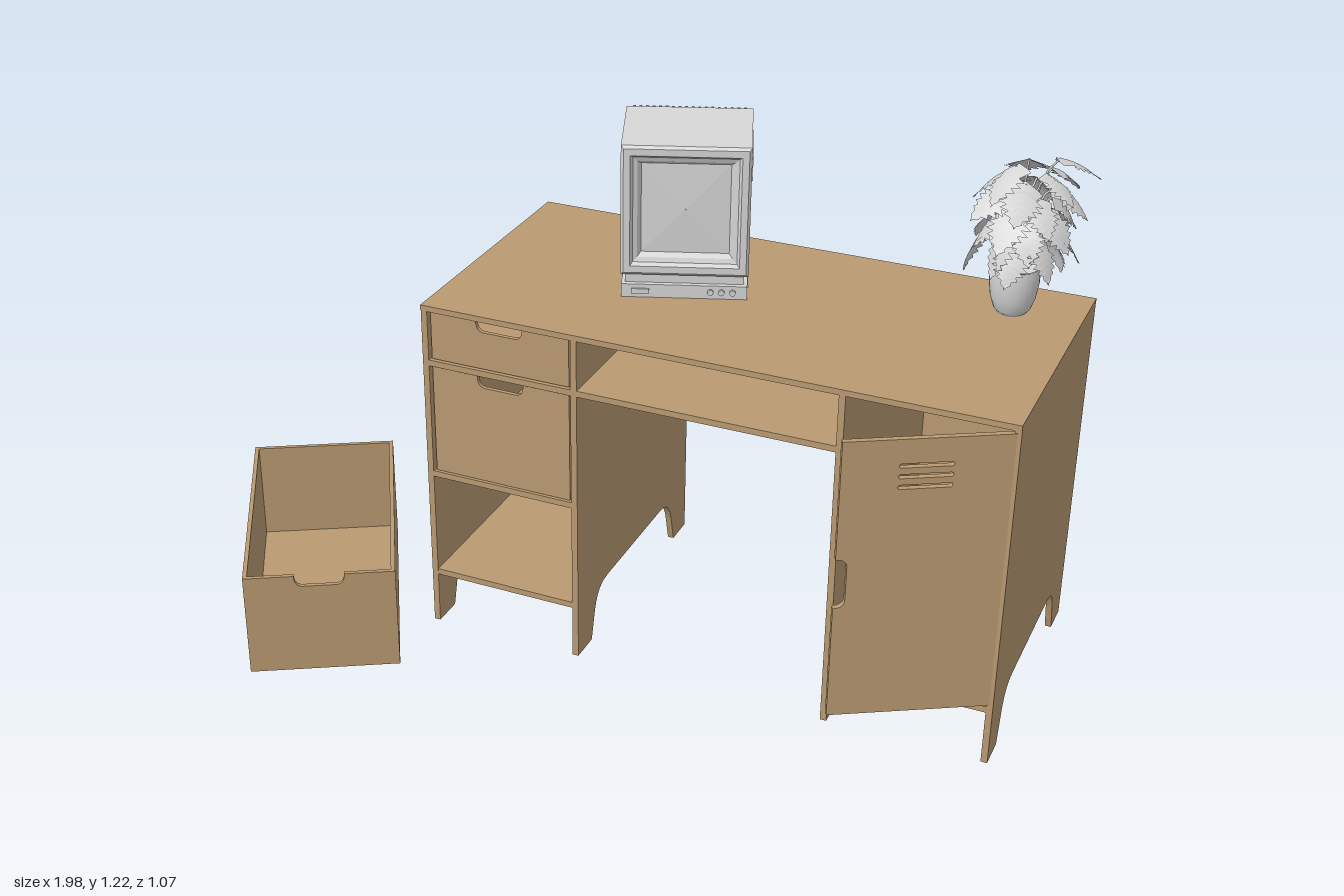
import * as THREE from 'three';

const wood = new THREE.MeshStandardMaterial({ color: 0xb99a72, side: THREE.DoubleSide });
wood.name = 'wood';
const grey = new THREE.MeshStandardMaterial({ color: 0xd6d6d6, side: THREE.DoubleSide });
grey.name = 'lightGrey';

const T = 0.015; // board thickness

function add(parent, name, geometry, material, x = 0, y = 0, z = 0) {
  const mesh = new THREE.Mesh(geometry, material);
  mesh.name = name;
  mesh.position.set(x, y, z);
  parent.add(mesh);
  return mesh;
}

// box given by its limits
function box(parent, name, material, x0, x1, y0, y1, z0, z1) {
  return add(parent, name, new THREE.BoxGeometry(x1 - x0, y1 - y0, z1 - z0), material,
    (x0 + x1) / 2, (y0 + y1) / 2, (z0 + z1) / 2);
}

const extrude = (shape, depth) => new THREE.ExtrudeGeometry(shape, { depth, bevelEnabled: false, curveSegments: 8 });

function faceted(geometry) {
  const g = geometry.toNonIndexed();
  g.computeVertexNormals();
  return g;
}

// upright board with an arch cut between two feet, drawn in (z, y)
function sidePanel(parent, name, x) {
  const s = new THREE.Shape();
  s.moveTo(0.148, 0);
  s.lineTo(0.148, 0.848);
  s.lineTo(-0.513, 0.848);
  s.lineTo(-0.513, 0);
  s.lineTo(-0.437, 0);
  s.bezierCurveTo(-0.415, 0.07, -0.42, 0.13, -0.345, 0.132);
  s.lineTo(-0.02, 0.132);
  s.bezierCurveTo(0.055, 0.13, 0.05, 0.07, 0.072, 0);
  const panel = add(parent, name, extrude(s, T), wood, x + T);
  panel.rotation.y = -Math.PI / 2;
}

// open box with a finger notch in its front board; front face at z = 0
function drawer(parent, name, w, h, d) {
  const g = new THREE.Group();
  g.name = name;
  parent.add(g);
  const a = w / 2, n = 0.058, t = 0.01;
  const s = new THREE.Shape();
  s.moveTo(-a, 0);
  s.lineTo(a, 0);
  s.lineTo(a, h);
  s.lineTo(n, h);
  s.quadraticCurveTo(n, h - 0.028, n - 0.02, h - 0.028);
  s.lineTo(-n + 0.02, h - 0.028);
  s.quadraticCurveTo(-n, h - 0.028, -n, h);
  s.lineTo(-a, h);
  add(g, 'drawerFront', extrude(s, t), wood, 0, 0, -t);
  for (const i of [-1, 1]) {
    const x = i * (a - t / 2);
    box(g, 'drawerSide', wood, x - t / 2, x + t / 2, 0, h, -d, -t);
  }
  box(g, 'drawerBack', wood, -a + t, a - t, 0, h, -d, -d + t);
  box(g, 'drawerFloor', wood, -a + t, a - t, 0, t, -d + t, -t);
  return g;
}

function makeDesk(root) {
  const desk = new THREE.Group();
  desk.name = 'desk';
  root.add(desk);
  for (const x of [-0.41, -0.037, 0.585, 0.96]) sidePanel(desk, 'sidePanel', x);
  box(desk, 'deskTop', wood, -0.41, 0.975, 0.836, 0.85, -0.515, 0.15);

  // shelves and dividers
  const shelves = [[-0.395, -0.037, 0.132], [-0.395, -0.037, 0.405], [-0.395, -0.037, 0.697],
    [-0.022, 0.585, 0.697], [0.6, 0.96, 0.132]];
  for (const [x0, x1, y] of shelves) box(desk, 'shelf', wood, x0, x1, y, y + T, -0.5, 0.147);

  // rear boards around the knee space
  box(desk, 'backPanel', wood, -0.395, -0.022, 0.132, 0.836, -0.513, -0.5);
  box(desk, 'backPanel', wood, 0.585, 0.96, 0.132, 0.836, -0.513, -0.5);
  box(desk, 'upperBackPanel', wood, -0.022, 0.585, 0.697, 0.836, -0.513, -0.5);
  box(desk, 'crossBar', wood, -0.022, 0.585, 0.35, 0.418, -0.513, -0.498);

  // closed drawers
  drawer(desk, 'topDrawer', 0.346, 0.12, 0.62).position.set(-0.216, 0.715, 0.142);
  drawer(desk, 'middleDrawer', 0.346, 0.272, 0.62).position.set(-0.216, 0.422, 0.142);

  // drawer pulled out and left on the floor
  const loose = drawer(root, 'looseDrawer', 0.35, 0.258, 0.622);
  loose.position.set(-0.54, 0.007, 0.446);
  loose.rotation.y = Math.PI / 6;

  // open door, hinged on its +x edge, with hand notch and slots
  const s = new THREE.Shape();
  s.moveTo(0, 0);
  s.lineTo(0, 0.675);
  s.lineTo(-0.36, 0.675);
  s.lineTo(-0.36, 0.395);
  s.quadraticCurveTo(-0.335, 0.395, -0.335, 0.375);
  s.lineTo(-0.335, 0.295);
  s.quadraticCurveTo(-0.335, 0.275, -0.36, 0.275);
  s.lineTo(-0.36, 0);
  for (const y of [0.563, 0.588, 0.613]) {
    const hole = new THREE.Path();
    hole.absarc(-0.235, y, 0.005, Math.PI / 2, Math.PI * 1.5);
    hole.absarc(-0.13, y, 0.005, -Math.PI / 2, Math.PI / 2);
    s.holes.push(hole);
  }
  const door = add(desk, 'door', extrude(s, 0.013), wood, 0.96, 0.155, 0.138);
  door.rotation.y = Math.PI / 6;
}

function makeMonitor(root) {
  const m = new THREE.Group();
  m.name = 'monitor';
  m.position.set(0.12, 0.85, -0.127);
  m.rotation.y = 0.36;
  root.add(m);

  // housing from its side profile in (z, y)
  const s = new THREE.Shape([[-0.04, 0.05], [-0.04, 0.365], [-0.235, 0.373], [-0.3, 0.345], [-0.3, 0], [-0.07, 0], [-0.07, 0.05]]
    .map(([z, y]) => new THREE.Vector2(z, y)));
  add(m, 'housing', extrude(s, 0.29), grey, 0.145).rotation.y = -Math.PI / 2;

  // stepped bezel running inward to the slightly domed screen
  const profile = [[0.145, -0.05], [0.145, -0.006], [0.139, 0], [0.124, 0], [0.118, -0.01], [0.108, -0.014], [0.1, -0.026], [0.001, -0.021]];
  const bezel = new THREE.LatheGeometry(profile.map(([r, y]) => new THREE.Vector2(r * Math.SQRT2, y)), 4);
  bezel.rotateY(Math.PI / 4).rotateX(Math.PI / 2).scale(1, 1.07, 1);
  add(m, 'bezelAndScreen', faceted(bezel), grey, 0, 0.21, 0);

  // tapered tube cover at the rear
  const cover = new THREE.CylinderGeometry(0.14 * Math.SQRT2, 0.105 * Math.SQRT2, 0.085, 4);
  cover.rotateY(Math.PI / 4).rotateX(Math.PI / 2).scale(1, 0.98, 1);
  add(m, 'tubeCover', faceted(cover), grey, 0, 0.205, -0.342);

  // control base with buttons
  box(m, 'base', grey, -0.143, 0.143, 0, 0.032, -0.08, -0.002);
  box(m, 'baseNeck', grey, -0.135, 0.135, 0.032, 0.055, -0.08, -0.014);
  for (const x of [0.06, 0.085, 0.11]) {
    const knob = add(m, 'knob', new THREE.CylinderGeometry(0.007, 0.007, 0.008, 12), grey, x, 0.017, 0);
    knob.rotation.x = Math.PI / 2;
  }
  box(m, 'button', grey, -0.12, -0.08, 0.01, 0.022, -0.004, 0.002);

  // vent ribs on the sloped top edge and on both sides
  for (let i = 0; i < 18; i++) {
    const rib = add(m, 'topVentRib', new THREE.BoxGeometry(0.006, 0.004, 0.055), grey, -0.128 + i * 0.015, 0.36, -0.267);
    rib.rotation.x = -0.407;
  }
  for (const x of [-0.145, 0.145]) {
    for (const y of [0.25, 0.275, 0.3]) box(m, 'sideVentRib', grey, x - 0.003, x + 0.003, y, y + 0.008, -0.27, -0.1);
  }
}

// lobed leaf: strips either side of a drooping midrib
function leafGeometry(length, droop) {
  const n = 14, pos = [], index = [];
  for (let i = 0; i <= n; i++) {
    const t = i / n;
    const lobe = i % 2 && i > 2 ? 0.62 : 1;
    const w = 0.5 * length * Math.sin(Math.PI * Math.pow(t, 0.62)) * lobe;
    const z = length * t, y = -droop * length * t * t;
    const back = i < 3 ? -0.12 * length : 0.07 * length;
    pos.push(-w, y - w * 0.3, z + back, 0, y, z, w, y - w * 0.3, z + back);
    if (i < n) {
      const a = i * 3;
      for (const k of [a, a + 1]) index.push(k, k + 3, k + 1, k + 1, k + 3, k + 4);
    }
  }
  const g = new THREE.BufferGeometry();
  g.setAttribute('position', new THREE.Float32BufferAttribute(pos, 3));
  g.setIndex(index);
  g.computeVertexNormals();
  return g;
}

function makePlant(root) {
  const plant = new THREE.Group();
  plant.name = 'pottedPlant';
  plant.position.set(0.815, 0.85, -0.37);
  root.add(plant);

  // round-bottomed pot with soil
  const pot = [[0.001, 0], [0.032, 0], [0.042, 0.012], [0.051, 0.04], [0.056, 0.075], [0.056, 0.112], [0.052, 0.114], [0.05, 0.104], [0.001, 0.104]];
  add(plant, 'pot', new THREE.LatheGeometry(pot.map(([x, y]) => new THREE.Vector2(x, y)), 28), grey);

  // stems and leaves spiral upward
  const count = 28;
  for (let i = 0; i < count; i++) {
    const u = i / (count - 1), a = i * 2.39996;
    const r = 0.05 + 0.035 * ((i * 7) % 5) / 4 - 0.02 * u;
    const h = 0.17 + 0.19 * u;
    const tip = new THREE.Vector3(Math.sin(a) * r + 0.005, h, Math.cos(a) * r - 0.02 * (1 + u) / 2);
    const curve = new THREE.QuadraticBezierCurve3(
      new THREE.Vector3(Math.sin(a) * 0.012, 0.1, Math.cos(a) * 0.012),
      new THREE.Vector3(tip.x * 0.3, h * 0.95, tip.z * 0.3), tip);
    add(plant, 'stem', new THREE.TubeGeometry(curve, 8, 0.0025, 5), grey);
    const leaf = add(plant, 'leaf', leafGeometry(0.085 + 0.02 * ((i * 3) % 4) / 3, 0.35), grey, tip.x, tip.y, tip.z);
    leaf.rotation.order = 'YXZ';
    leaf.rotation.set(0.75 - 0.6 * u + 0.1 * (i % 3), a, 0.25 * ((i % 3) - 1));
  }
}

export function createModel() {
  const root = new THREE.Group();
  root.name = 'deskSet';
  makeDesk(root);
  makeMonitor(root);
  makePlant(root);
  return root;
}
